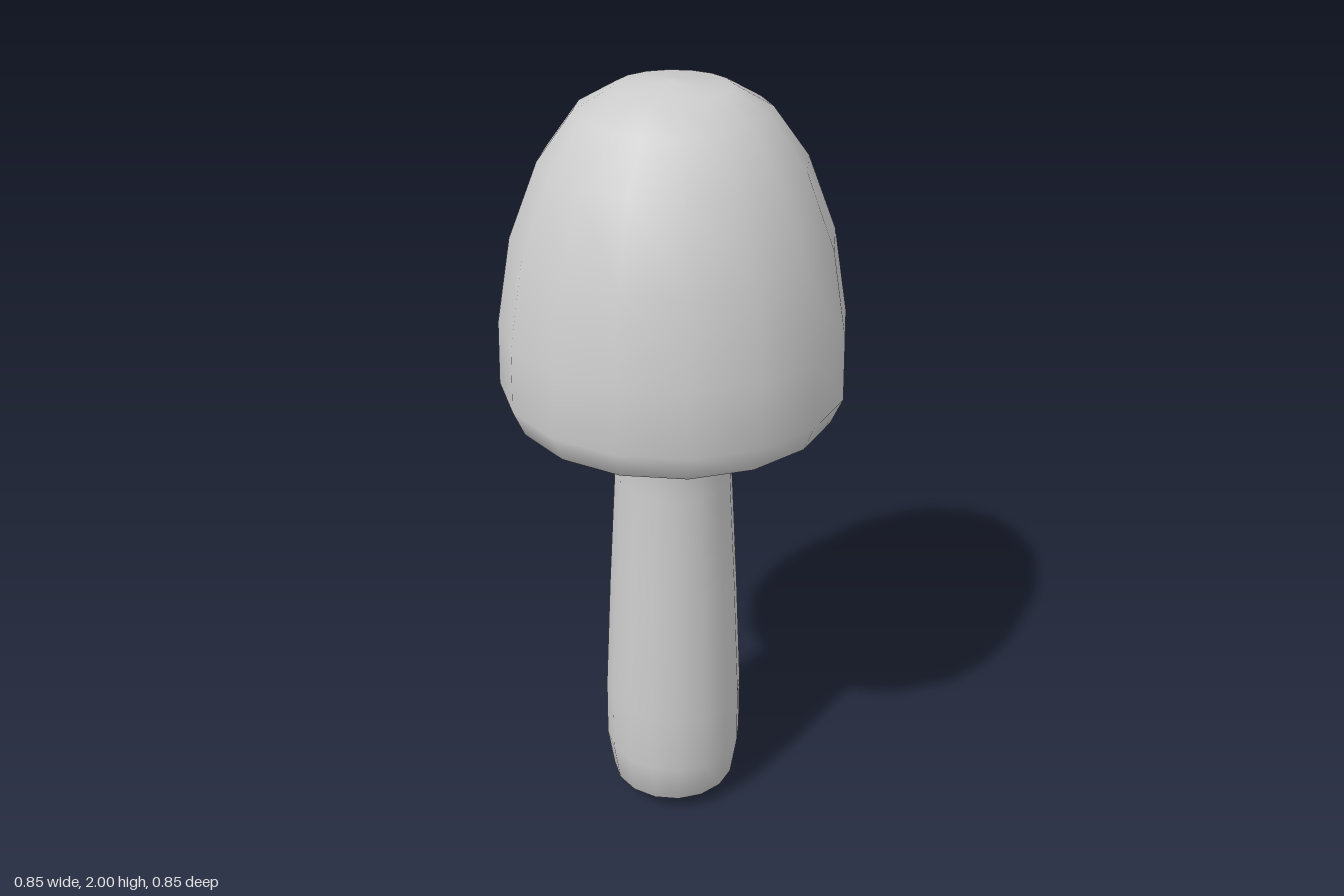
import * as THREE from 'three';

const SIDES = 16;

// Turns a profile of [radius, height] pairs, listed from the bottom up
function turned(name, profile, material) {
  const points = profile.map(([r, y]) => new THREE.Vector2(r, y));
  const mesh = new THREE.Mesh(new THREE.LatheGeometry(points, SIDES), material);
  mesh.name = name;
  return mesh;
}

export function createModel() {
  const group = new THREE.Group();
  group.name = 'mushroom';

  const paleGrey = new THREE.MeshStandardMaterial({ color: 0xcccccc });
  paleGrey.name = 'paleGrey';

  // Stem: rounded foot, slow taper, flared neck running into the underside
  group.add(turned('stem', [
    [0, 0], [0.113, 0.01], [0.168, 0.055], [0.185, 0.17], [0.184, 0.34],
    [0.168, 0.68], [0.15, 1.0], [0.154, 1.11], [0.176, 1.2], [0.212, 1.26], [0.26, 1.28],
  ], paleGrey));

  // Cap: recessed underside, thick rolled rim and tall dome
  group.add(turned('cap', [
    [0.26, 1.28], [0.31, 1.268], [0.348, 1.218], [0.372, 1.202], [0.397, 1.204],
    [0.425, 1.27], [0.42, 1.43], [0.383, 1.64], [0.312, 1.82],
    [0.227, 1.935], [0.135, 1.987], [0, 2.0],
  ], paleGrey));

  return group;
}
